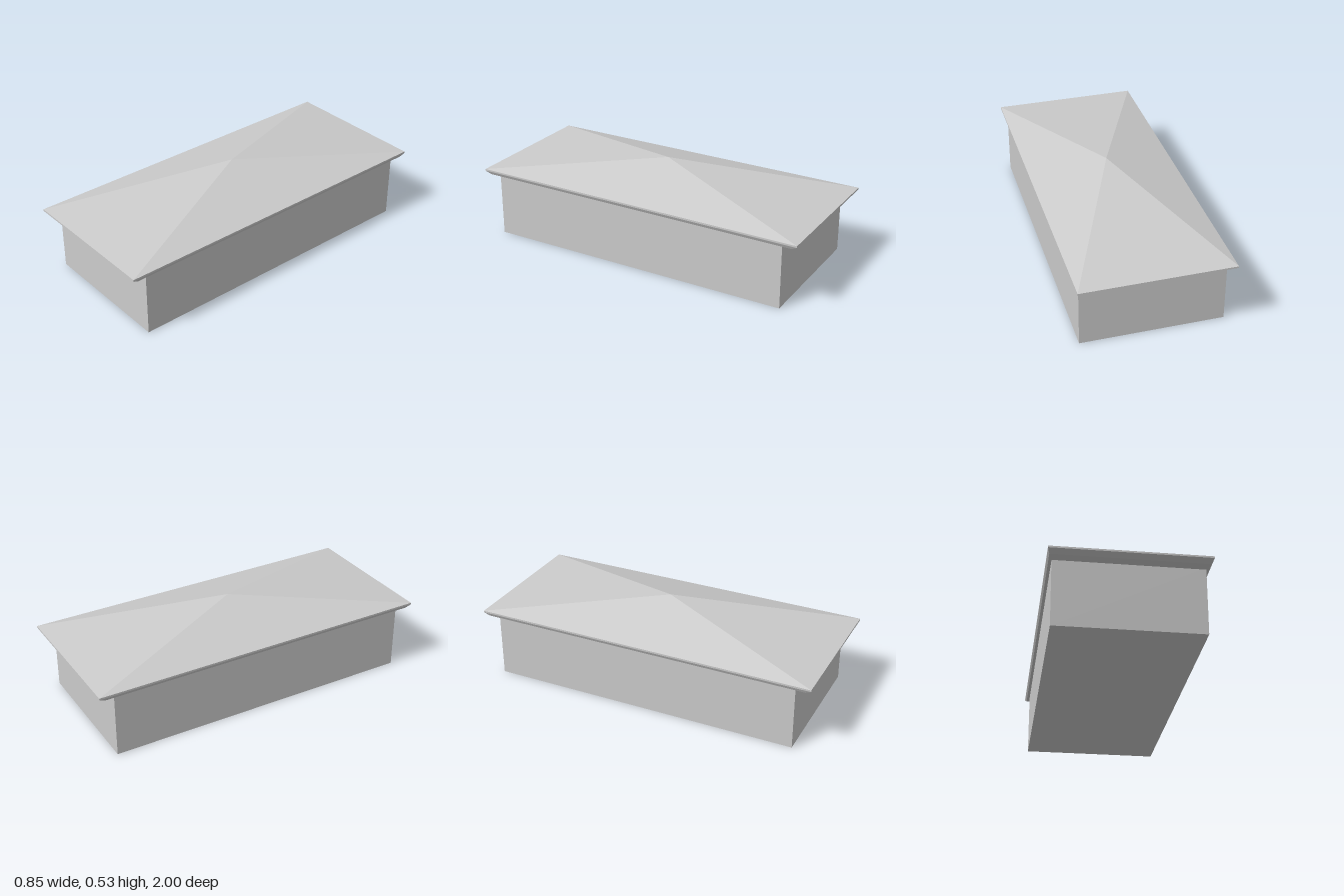
import * as THREE from 'three';

// Stack of rectangular sections [halfX, halfZ, y], bottom to top, joined by flat faces
function rectLoft(name, sections, material) {
  const pos = [];
  const corner = ([hx, hz, y], i) => {
    const [sx, sz] = [[-1, 1], [1, 1], [1, -1], [-1, -1]][i % 4];
    return [sx * hx, y, sz * hz];
  };
  const quad = (a, b, c, d) => pos.push(...a, ...b, ...c, ...a, ...c, ...d);
  for (let s = 0; s < sections.length - 1; s++) {
    const [lo, hi] = [sections[s], sections[s + 1]];
    for (let i = 0; i < 4; i++) {
      const [a, b] = [corner(lo, i), corner(lo, i + 1)];
      if (hi[0] === 0) pos.push(...a, ...b, 0, hi[2], 0);
      else quad(a, b, corner(hi, i + 1), corner(hi, i));
    }
  }
  const geometry = new THREE.BufferGeometry();
  geometry.setAttribute('position', new THREE.Float32BufferAttribute(pos, 3));
  geometry.computeVertexNormals();
  const mesh = new THREE.Mesh(geometry, material);
  mesh.name = name;
  return mesh;
}

export function createModel() {
  const group = new THREE.Group();
  group.name = 'hall';
  const material = new THREE.MeshStandardMaterial({ color: 0xcccccc, flatShading: true });

  // Main block
  const walls = new THREE.Mesh(new THREE.BoxGeometry(0.8, 0.385, 1.816), material);
  walls.name = 'walls';
  walls.position.y = 0.1925;
  group.add(walls);

  // Eaves: flat soffit, flared underside and a thin upright edge
  group.add(rectLoft('eaves', [
    [0.4, 0.908, 0.372],
    [0.416, 0.967, 0.372],
    [0.425, 1, 0.39],
    [0.425, 1, 0.4],
  ], material));

  // Low four-sided roof rising to a central point
  group.add(rectLoft('roof', [
    [0.425, 1, 0.4],
    [0, 0, 0.532],
  ], material));

  return group;
}
